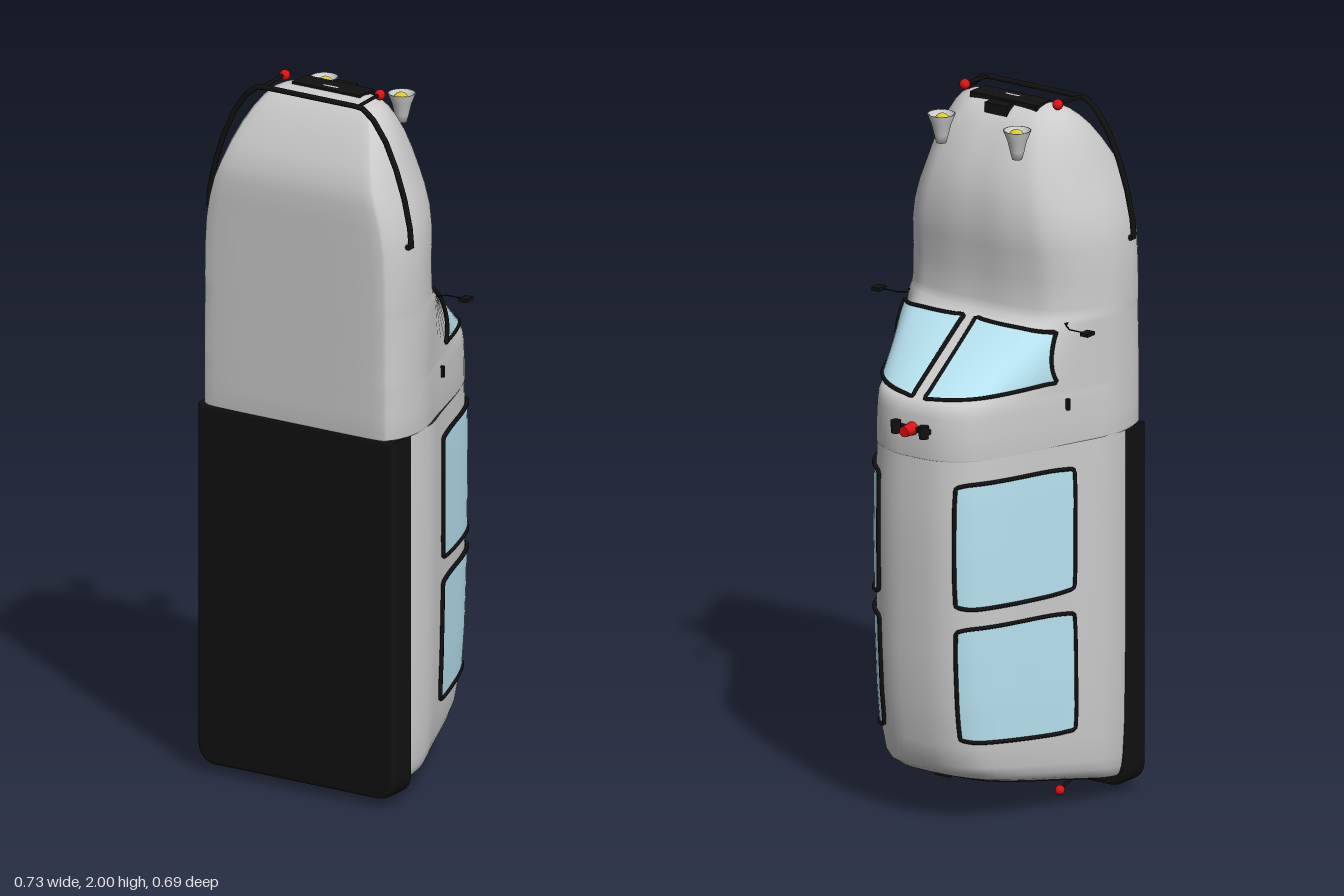
import * as THREE from 'three';

const V = (x, y, z) => new THREE.Vector3(x, y, z);
const mat = (color, side = THREE.FrontSide) => new THREE.MeshStandardMaterial({ color, side });
const grey = mat(0xcccccc), black = mat(0x111111), red = mat(0xdd1111), yellow = mat(0xd8c832);
const glass = mat(0xb8e4f2, THREE.DoubleSide);

// Half cross-sections (x, z), from the roof centre round to the belly centre
const CABIN = [[0, -.31], [.07, -.305], [.13, -.28], [.175, -.235], [.215, -.15], [.25, -.05], [.29, .07],
  [.322, .16], [.33, .22], [.325, .28], [.305, .325], [.26, .343], [0, .345]];
const HOOD = [[0, 0], [.09, 0], [.17, .012], [.215, .025], [.25, .05], [.278, .08], [.302, .12],
  [.322, .17], [.33, .22], [.325, .28], [.305, .325], [.26, .343], [0, .345]];
const smooth = (pts) => new THREE.CatmullRomCurve3(pts.map(([x, z]) => V(x, 0, z)), false, 'catmullrom', 0.5);
const cabinCurve = smooth(CABIN), hoodCurve = smooth(HOOD);

// Stations: [y, roof z, belly z, half width, cabin 0 .. hood 1]
const REAR = [[.06, -.17, .3, .295, 0], [.07, -.215, .3, .305, 0], [.09, -.245, .3, .312, 0], [.12, -.265, .3, .317, 0],
  [.2, -.282, .3, .322, 0], [.36, -.297, .3, .325, 0], [.5, -.306, .3, .326, 0], [.8, -.314, .3, .327, 0],
  [.95, -.312, .3, .327, 0], [1.065, -.305, .3, .326, 0]];
const FRONT = [[1.06, -.304, .34, .326, 0], [1.066, -.31, .345, .331, 0], [1.13, -.309, .345, .331, 0], [1.18, -.305, .345, .331, 0],
  [1.205, -.298, .345, .331, 0], [1.22, -.285, .345, .331, 0], [1.4, -.03, .345, .33, 1], [1.415, -.012, .345, .33, 1],
  [1.44, -.004, .345, .33, 1], [1.52, -.003, .345, .329, 1], [1.6, -.015, .345, .324, 1], [1.66, -.02, .345, .313, 1],
  [1.72, -.016, .345, .295, 1], [1.77, -.008, .338, .274, 1], [1.82, .008, .317, .256, 1], [1.87, .03, .288, .235, 1],
  [1.91, .052, .262, .213, 1], [1.94, .074, .236, .192, 1], [1.96, .095, .215, .172, 1], [1.973, .118, .195, .145, 1],
  [1.98, .14, .175, .1, 1]];

// Point on the +x half of the hull at height y, profile position t in 0..1
function surf(stations, y, t) {
  let i = 0;
  while (i < stations.length - 2 && y > stations[i + 1][0]) i++;
  const A = stations[i], B = stations[i + 1];
  const f = THREE.MathUtils.clamp((y - A[0]) / (B[0] - A[0]), 0, 1);
  const [, roof, belly, w, k] = A.map((a, n) => a + (B[n] - a) * f);
  const c = cabinCurve.getPoint(t), h = hoodCurve.getPoint(t);
  const x = THREE.MathUtils.lerp(c.x, h.x, k) * w / .33;
  const n = THREE.MathUtils.lerp((c.z + .31) / .655, h.z / .345, k);
  const z = roof + (belly - roof) * n;
  const lean = .143 * (.24 - z) * THREE.MathUtils.clamp(1 - (y - .06) / .3, 0, 1); // slanted tail
  return V(x, y + lean, z);
}

function ring(stations, y, n = 36) {
  const half = [];
  for (let i = 0; i <= n; i++) half.push(surf(stations, y, i / n));
  return half.concat(half.slice(1, -1).reverse().map((p) => V(-p.x, p.y, p.z)));
}

// Skins rows of points; closed joins the last column to the first
function skin(rows, closed = true) {
  const m = rows[0].length, index = [];
  for (let j = 0; j < rows.length - 1; j++) {
    for (let i = 0; i < (closed ? m : m - 1); i++) {
      const a = j * m + i, c = j * m + (i + 1) % m;
      index.push(a, a + m, c, c, a + m, c + m);
    }
  }
  const g = new THREE.BufferGeometry().setFromPoints(rows.flat());
  g.setIndex(index);
  g.computeVertexNormals();
  return g;
}
const disc = (loop, centre) => skin([loop.map(() => centre), loop]);

export function createModel() {
  const model = new THREE.Group();
  const add = (name, geo, material, x = 0, y = 0, z = 0) => {
    const mesh = new THREE.Mesh(geo, material);
    mesh.name = name;
    mesh.position.set(x, y, z);
    model.add(mesh);
    return mesh;
  };
  const tube = (name, pts, r, material = black, closed = false, straight = true) => {
    let path = new THREE.CatmullRomCurve3(pts, closed);
    if (straight) {
      path = new THREE.CurvePath();
      pts.slice(1).forEach((p, i) => path.add(new THREE.LineCurve3(pts[i], p)));
    }
    return add(name, new THREE.TubeGeometry(path, pts.length * 8, r, 8, closed), material);
  };
  // Glass patch fn(a, b) with a dark rubber frame along its border
  const pane = (name, fn, n = 14) => {
    const rows = [], edge = [];
    for (let j = 0; j <= n; j++) rows.push(Array.from({ length: n + 1 }, (_, i) => fn(i / n, j / n)));
    for (let i = 0; i < n; i++) edge.push(fn(i / n, 0));
    for (let i = 0; i < n; i++) edge.push(fn(1, i / n));
    for (let i = n; i > 0; i--) edge.push(fn(i / n, 1));
    for (let i = n; i > 0; i--) edge.push(fn(0, i / n));
    add(name, skin(rows, false), glass);
    const path = new THREE.CatmullRomCurve3(edge, true, 'centripetal');
    add(name + 'Frame', new THREE.TubeGeometry(path, 160, .006, 6, true), black);
  };

  // Hull in two halves
  add('rearCabin', skin(REAR.map((s) => ring(REAR, s[0]))), grey);
  add('frontBody', skin(FRONT.map((s) => ring(FRONT, s[0]))), grey);
  add('frontBodyFloor', disc(ring(FRONT, 1.06), V(0, 1.06, .05)), grey);
  const noseRing = ring(FRONT, 1.98);
  add('noseTip', skin([noseRing, noseRing.map(() => V(0, 1.984, .16))]), grey);

  // Tail face with its window
  const onTail = (x, z, out = 0) => V(x, .06 + .143 * (.24 - z) - out, z);
  const tailRing = ring(REAR, .06);
  add('tailFace', disc(tailRing, onTail(0, .05)), grey);
  const windowRing = tailRing.map((p) => onTail(p.x * .88, Math.min(.21, .04 + (p.z - .04) * .88), .004));
  add('tailWindow', disc(windowRing, onTail(0, .05, .004)), glass);
  tube('tailWindowFrame', [...windowRing, windowRing[0]], .005);
  add('tailLatch', new THREE.BoxGeometry(.05, .012, .012), black, 0, .115, -.165);

  // Dark belly tray, rounded at the tail
  const tray = new THREE.Shape();
  const w = .313, r = .05;
  tray.moveTo(-w, 1.05);
  tray.lineTo(-w, .037 + r);
  tray.quadraticCurveTo(-w, .037, -w + r, .037);
  tray.lineTo(w - r, .037);
  tray.quadraticCurveTo(w, .037, w, .037 + r);
  tray.lineTo(w, 1.05);
  add('bellyTray', new THREE.ExtrudeGeometry(tray, { depth: .073, bevelSize: .011, bevelThickness: .011, bevelSegments: 3 }), black, 0, 0, .251);

  // Front bumper rail
  const rail = [[.3, 1.605], [.335, 1.605], [.33, 1.66], [.312, 1.74], [.285, 1.82], [.25, 1.895], [.21, 1.95], [.175, 1.977], [.15, 1.98]];
  const railPts = [...rail.map(([x, y]) => V(-x, y, .262)), ...rail.reverse().map(([x, y]) => V(x, y, .262))];
  tube('bumperRail', railPts, .008);

  // Nose vent plate
  add('noseVent', new THREE.BoxGeometry(.225, .022, .07), black, 0, 1.972, .15);
  add('noseVentTop', new THREE.BoxGeometry(.075, .035, .04), black, 0, 1.958, .1);

  // Roof beacon
  add('beacon', new THREE.CylinderGeometry(.015, .019, .042, 20).rotateX(-Math.PI / 2), red, 0, 1.145, -.329);
  add('beaconBase', new THREE.BoxGeometry(.12, .014, .012), black, 0, 1.145, -.312);

  for (const s of [1, -1]) {
    const side = s > 0 ? 'left' : 'right';

    // Wraparound windscreen pane
    pane(side + 'Windscreen', (a, b) => {
      const y = THREE.MathUtils.lerp(1.225 + .022 * a, 1.395 - .012 * a, b);
      const idx = THREE.MathUtils.lerp(THREE.MathUtils.lerp(.3, 5.25, a), THREE.MathUtils.lerp(.23, 4.15, a), b);
      const p = surf(FRONT, y, idx / 12);
      return V(s * (p.x + .004 * a), p.y + .003, p.z - .004);
    });

    // Side windows that curve over the shoulder
    for (const [name, lo, hi] of [['FrontWindow', .64, 1], ['RearWindow', .22, .585]]) {
      pane(side + name, (a, b) => {
        const v = (b * 2 - 1) * (1 - .06 * Math.abs(2 * a - 1) ** 6);
        const y = (lo + hi) / 2 + v * (hi - lo) / 2;
        const t = (1.95 + (6 - 1.95) * a + .06 * (1 - (2 * b - 1) ** 6) * (2 * a - 1)) / 12;
        const p = surf(REAR, y, t);
        return V(s * (p.x + .005), p.y, p.z - .003);
      });
    }

    // Headlamp pod
    const lamp = [[0, -.085], [.014, -.083], [.02, -.06], [.027, -.03], [.039, 0], [.035, 0], [.02, -.025], [0, -.03]];
    add(side + 'HeadlampPod', new THREE.LatheGeometry(lamp.map(([x, y]) => new THREE.Vector2(x, y)), 28), grey, s * .128, 1.945, .003);
    add(side + 'HeadlampBulb', new THREE.SphereGeometry(.022, 20, 14), yellow, s * .125, 1.925, .003);

    // Marker light on its stalk
    tube(side + 'MarkerStalk', [V(s * .157, 1.98, .262), V(s * .157, 1.987, .155)], .005);
    add(side + 'MarkerLight', new THREE.SphereGeometry(.015, 16, 12), red, s * .157, 1.985, .153);

    // Tail lamp on its stalk
    tube(side + 'TailStalk', [V(s * .16, .045, .25), V(s * .16, .017, .16)], .005);
    add(side + 'TailLamp', new THREE.SphereGeometry(.014, 16, 12), red, s * .16, .014, .158);

    // Roof spotlight beside the beacon
    add(side + 'Spotlight', new THREE.CylinderGeometry(.015, .013, .035, 18), black, s * .047, 1.145, -.322);

    // Wing mirror
    tube(side + 'MirrorArm', [V(s * .262, 1.395, .05), V(s * .29, 1.397, .022), V(s * .345, 1.397, .022)], .002);
    add(side + 'MirrorFoot', new THREE.BoxGeometry(.012, .022, .02), black, s * .262, 1.395, .05);
    add(side + 'Mirror', new THREE.BoxGeometry(.026, .01, .034), black, s * .352, 1.397, .021);

    // Door handle
    add(side + 'Handle', new THREE.BoxGeometry(.014, .032, .008), black, s * .279, 1.178, .03);
  }
  return model;
}
